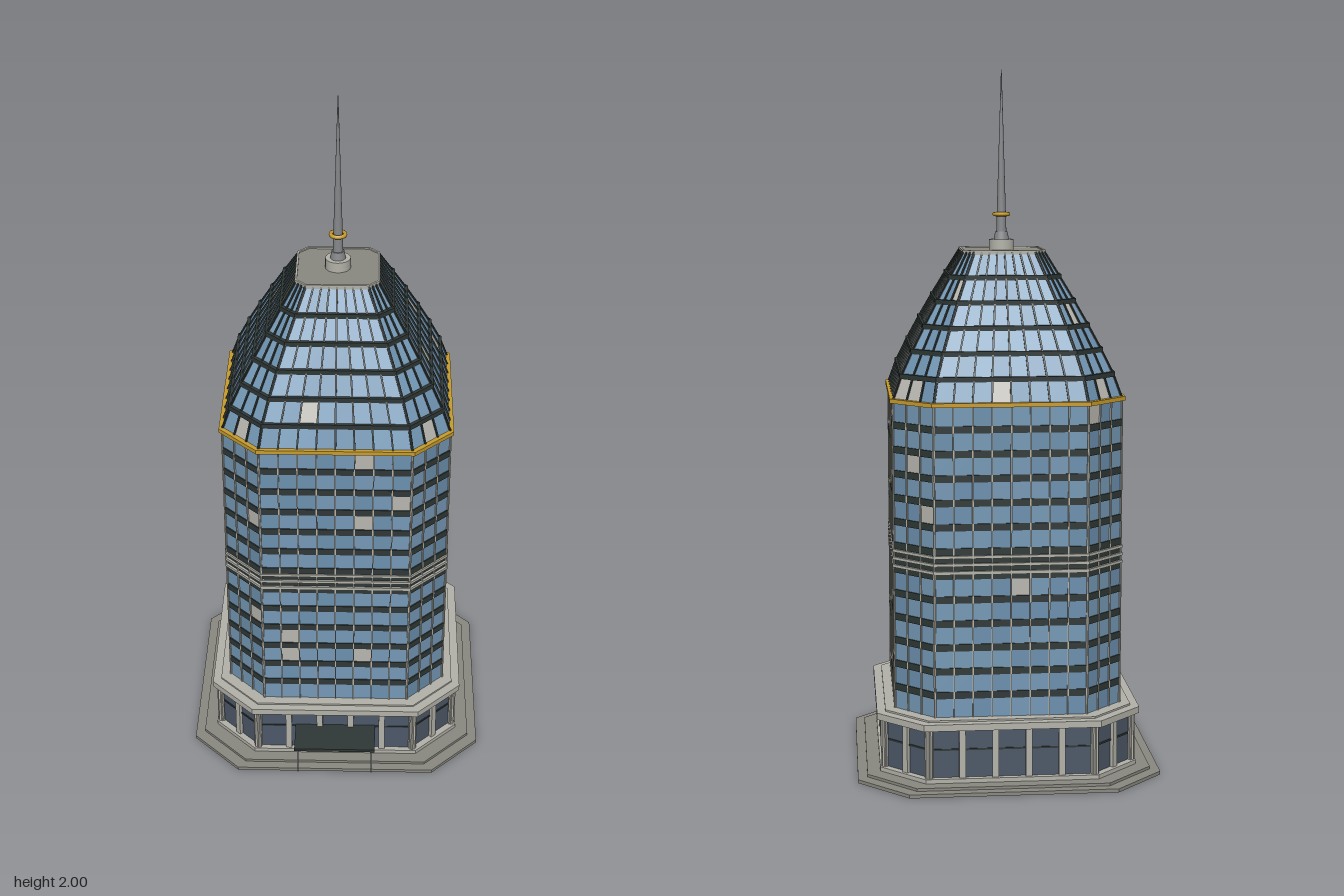
import * as THREE from 'three';
import { mergeGeometries } from 'three/addons/utils/BufferGeometryUtils.js';

const mat = (name, color, extra = {}) => Object.assign(new THREE.MeshStandardMaterial({ color, ...extra }), { name });
const M = {
  glass: mat('blue glass', 0x7599b6),
  glassDeep: mat('deeper blue glass', 0x6c90ae),
  blind: mat('pale window', 0xb9b7b0),
  dark: mat('dark metal', 0x2f3836),
  stone: mat('light stone', 0xb4b3aa),
  paving: mat('grey stone', 0x8a8981),
  lobby: mat('lobby glass', 0x4d5868),
  gold: mat('gold trim', 0xc99d2e),
  steel: mat('spire steel', 0x85878a),
};

// Chamfered square, walked so every side runs left to right seen from outside
const octagon = (h, c) => {
  const w = h - c;
  return [[-w, h], [w, h], [h, w], [h, -w], [w, -h], [-w, -h], [-h, -w], [-h, w]];
};
const at = ([x, z], y) => new THREE.Vector3(x, y, z);

// Point on side s of an octagonal ring, t from 0 to 1 along the side
const onRing = (ring, s, t) => {
  const p = octagon(ring.h, ring.c);
  return at(p[s], ring.y).lerp(at(p[(s + 1) % 8], ring.y), t);
};

// Flat octagonal slab, optionally hollow
function slab(h, c, y, height, hole = 0) {
  const pts = (hh, cc) => octagon(hh, cc).map(([x, z]) => new THREE.Vector2(x, -z));
  const shape = new THREE.Shape(pts(h, c));
  if (hole) shape.holes.push(new THREE.Path(pts(h - hole, c - hole * 0.58)));
  const g = new THREE.ExtrudeGeometry(shape, { depth: height, bevelEnabled: false });
  return g.rotateX(-Math.PI / 2).translate(0, y, 0);
}

// Rectangular bar from a to b; side is the direction of the wall it lies on
function bar(a, b, side, width, depth) {
  const Y = b.clone().sub(a);
  const length = Y.length();
  Y.normalize();
  const Z = side.clone().cross(Y).normalize();
  const X = Y.clone().cross(Z);
  const m = new THREE.Matrix4().makeBasis(X, Y, Z).setPosition(a.clone().lerp(b, 0.5));
  return new THREE.BoxGeometry(width, length, depth).applyMatrix4(m);
}

// Bars standing on every bay line between two rings
function mullions(lo, hi, bays, width, depth) {
  const out = [];
  for (let s = 0; s < 8; s++) {
    const side = onRing(lo, s, 1).sub(onRing(lo, s, 0)).normalize();
    const n = bays[s % 2];
    for (let j = 0; j <= n; j++) out.push(bar(onRing(lo, s, j / n), onRing(hi, s, j / n), side, width, depth));
  }
  return out;
}

// Pale windows, listed as side:bay:floor; the remaining sides are scattered
const PALE = new Set(['0:5:12', '0:7:10', '0:5:9', '0:1:3', '0:1:2', '0:5:2', '0:2:14', '2:6:9', '2:2:9',
  '2:4:4', '2:0:2', '2:2:0', '2:2:15', '2:6:14', '2:6:16', '1:1:13', '3:1:13', '5:1:13', '7:1:13', '7:2:4', '7:2:9']);
const hash = (a, b, c) => {
  const v = Math.sin(a * 12.9898 + b * 78.233 + c * 37.719) * 43758.5453;
  return v - Math.floor(v);
};

const BAYS = [8, 3];
const FOOT = 0.19, EAVES = 1.08, FLOOR = (EAVES - FOOT) / 13, MECH = 6;

export function createModel() {
  const model = new THREE.Group();
  model.name = 'tower';
  const body = new THREE.Group();
  body.name = 'building';
  body.position.z = -0.018;
  model.add(body);
  const add = (name, geo, material) => {
    const mesh = new THREE.Mesh(Array.isArray(geo) ? mergeGeometries(geo) : geo, material);
    mesh.name = name;
    body.add(mesh);
    return mesh;
  };

  // Stepped base
  add('lowerStep', slab(0.432, 0.14, 0, 0.01), M.paving);
  add('upperStep', slab(0.405, 0.135, 0.01, 0.008), M.paving);

  // Podium: lobby glass, plinth, piers, rail and cornice
  add('podiumPlinth', slab(0.368, 0.124, 0.018, 0.012), M.stone);
  add('lobbyGlass', slab(0.352, 0.12, 0.03, 0.14), M.lobby);
  add('lobbyRail', slab(0.354, 0.12, 0.108, 0.005), M.dark);
  const podium = y => ({ h: 0.354, c: 0.12, y });
  add('podiumPiers', mullions(podium(0.03), podium(0.172), [5, 2], 0.018, 0.016), M.stone);
  add('podiumCornice', slab(0.376, 0.127, 0.171, 0.019), M.stone);
  add('podiumRoof', slab(0.352, 0.118, 0.188, 0.007), M.stone);

  // Rings of floor lines: straight shaft, then the tapering crown
  const rings = [];
  for (let i = 0; i <= 13; i++) rings.push({ h: 0.322, c: 0.108, y: FOOT + i * FLOOR });
  const taper = [0.298, 0.266, 0.231, 0.194, 0.155, 0.115];
  taper.forEach((h, i) => rings.push({ h, c: 0.108 - (i + 1) * 0.0133, y: EAVES + (i + 1) * 0.0675 }));

  // Window panes sorted by colour
  const panes = { glass: [], glassDeep: [], blind: [], dark: [] };
  for (let f = 0; f < rings.length - 1; f++) for (let s = 0; s < 8; s++) {
    const n = BAYS[s % 2];
    for (let j = 0; j < n; j++) {
      const r = hash(s, j, f);
      const pale = PALE.has(`${s}:${j}:${f}`) || (s > 2 && s < 7 && r < 0.045);
      const kind = f === MECH ? 'dark' : pale ? 'blind' : r > 0.7 ? 'glassDeep' : 'glass';
      const [a, b] = [j / n, (j + 1) / n];
      const q = [onRing(rings[f], s, a), onRing(rings[f], s, b), onRing(rings[f + 1], s, b), onRing(rings[f + 1], s, a)];
      for (const k of [0, 1, 2, 0, 2, 3]) panes[kind].push(...q[k].toArray());
    }
  }
  const paneNames = { glass: 'windows', glassDeep: 'deepWindows', blind: 'paleWindows', dark: 'plantFloorWall' };
  for (const kind in panes) {
    const g = new THREE.BufferGeometry();
    g.setAttribute('position', new THREE.Float32BufferAttribute(panes[kind], 3));
    g.computeVertexNormals();
    add(paneNames[kind], g, M[kind]);
  }

  // Dark floor bands on shaft and crown
  const bands = [];
  for (let i = 1; i < 13; i++) bands.push(slab(0.325, 0.109, rings[i].y - 0.01, 0.02));
  add('floorBands', bands, M.dark);
  const crownBands = [];
  for (let i = 14; i < 19; i++) crownBands.push(slab(rings[i].h + 0.006, rings[i].c + 0.003, rings[i].y - 0.007, 0.014, 0.02));
  add('crownBands', crownBands, M.dark);

  // Light louvres on the plant floor
  const louvres = [0.606, 0.628, 0.65].map(y => slab(0.328, 0.11, y, 0.008));
  add('plantLouvres', louvres, M.stone);

  // Mullions: pale on the shaft, dark on the crown
  add('shaftMullions', mullions(rings[0], rings[13], BAYS, 0.004, 0.008), M.stone);
  const ribs = [];
  for (let i = 13; i < 19; i++) ribs.push(...mullions(rings[i], rings[i + 1], BAYS, 0.005, 0.008));
  add('crownRibs', ribs, M.dark);
  add('eavesTrim', slab(0.332, 0.111, 1.074, 0.012), M.gold);

  // Flat top with parapet
  add('roofDeck', slab(0.113, 0.028, 1.478, 0.01), M.paving);
  add('roofParapet', slab(0.118, 0.03, 1.478, 0.014, 0.006), M.stone);

  // Spire
  const round = (name, top, bottom, y0, y1, material) =>
    add(name, new THREE.CylinderGeometry(top, bottom, y1 - y0, 20).translate(0, (y0 + y1) / 2, 0), material);
  round('spireBase', 0.036, 0.036, 1.486, 1.518, M.stone);
  round('spireCollar', 0.018, 0.022, 1.518, 1.54, M.steel);
  round('spire', 0.001, 0.015, 1.53, 2, M.steel);
  add('spireRing', new THREE.TorusGeometry(0.02, 0.006, 8, 24).rotateX(Math.PI / 2).translate(0, 1.59, 0), M.gold);

  // Entrance: doors, split line, canopy and its posts
  const box = (name, w, h, d, x, y, z, material) =>
    add(name, new THREE.BoxGeometry(w, h, d).translate(x, y, z), material);
  box('doors', 0.1, 0.055, 0.008, 0, 0.0575, 0.358, M.blind);
  box('doorSplit', 0.005, 0.055, 0.004, 0, 0.0575, 0.363, M.dark);
  box('canopy', 0.24, 0.009, 0.112, 0, 0.11, 0.407, M.dark);
  for (const x of [-0.11, 0.11]) box('canopyPost', 0.004, 0.09, 0.004, x, 0.063, 0.453, M.steel);

  return model;
}
